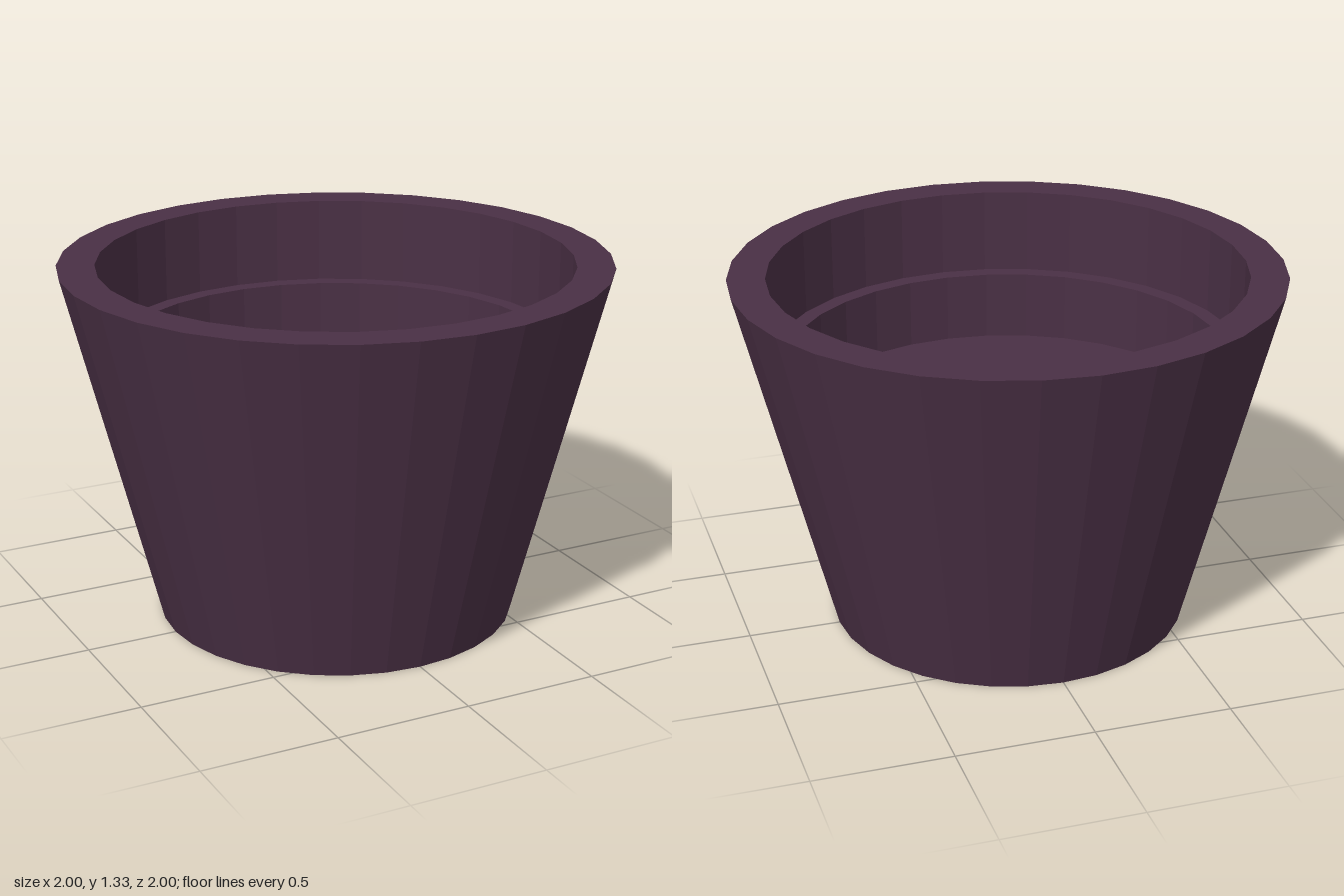
import * as THREE from 'three';

const SIDES = 32;

export function createModel() {
  const group = new THREE.Group();
  group.name = 'plantPot';
  const plum = new THREE.MeshStandardMaterial({ color: 0x4a3045 });
  plum.name = 'dark plum';

  function add(name, geometry) {
    const mesh = new THREE.Mesh(geometry, plum);
    mesh.name = name;
    group.add(mesh);
    return mesh;
  }

  // Revolved band with flat facets; going up the profile faces outward
  function band(name, profile) {
    const points = profile.map(([r, y]) => new THREE.Vector2(r, y));
    const geometry = new THREE.LatheGeometry(points, SIDES).toNonIndexed();
    geometry.computeVertexNormals();
    return add(name, geometry);
  }

  // Flat disc facing up or down
  function disc(name, radius, y, up) {
    const geometry = new THREE.CircleGeometry(radius, SIDES);
    geometry.rotateX(up ? -Math.PI / 2 : Math.PI / 2);
    geometry.translate(0, y, 0);
    return add(name, geometry);
  }

  // Tapered outside, thick rim and stepped inside
  band('outerWall', [[0.66, 0], [1, 1.33]]);
  band('rim', [[1, 1.33], [0.863, 1.33]]);
  band('upperInnerWall', [[0.863, 1.33], [0.863, 1.01]]);
  band('innerLedge', [[0.863, 1.01], [0.8, 1.01]]);
  band('lowerInnerWall', [[0.8, 1.01], [0.8, 0.75]]);

  // Closing faces
  disc('innerFloor', 0.8, 0.75, true);
  disc('base', 0.66, 0, false);

  return group;
}
